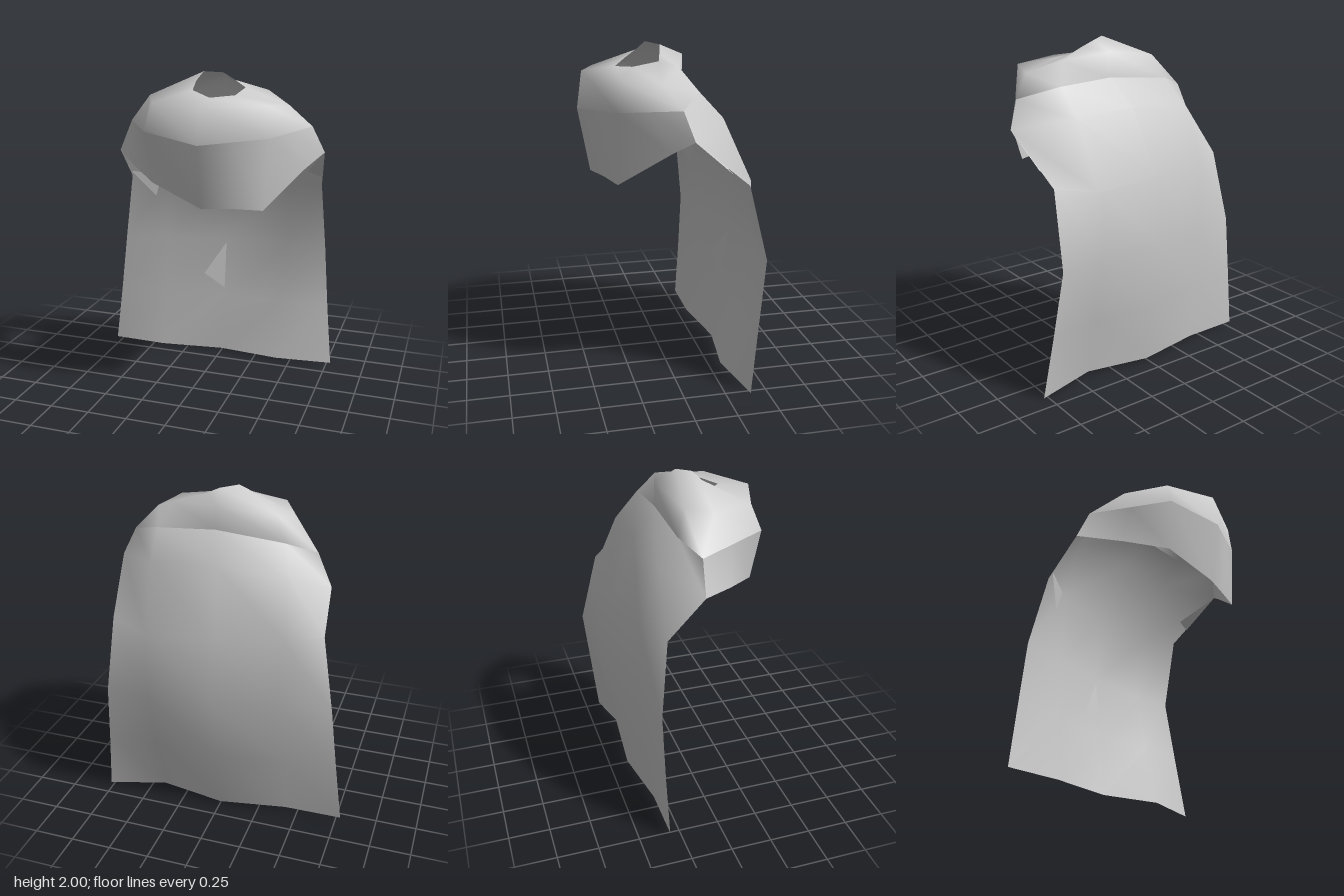
import * as THREE from 'three';

const material = new THREE.MeshStandardMaterial({ color: 0xcccccc, side: THREE.DoubleSide });

// Smooth cloth sheet stretched over rows of points; closed joins each row into a ring
function cloth(name, rows, closed = false) {
  const n = rows[0].length, index = [];
  for (let r = 0; r < rows.length - 1; r++) {
    for (let c = 0; c < (closed ? n : n - 1); c++) {
      const a = r * n + c, b = r * n + (c + 1) % n;
      index.push(a, a + n, b + n, a, b + n, b);
    }
  }
  const geometry = new THREE.BufferGeometry();
  geometry.setAttribute('position', new THREE.Float32BufferAttribute(rows.flat(2), 3));
  geometry.setIndex(index);
  geometry.computeVertexNormals();
  const mesh = new THREE.Mesh(geometry, material);
  mesh.name = name;
  return mesh;
}

// Three-cornered turned-over piece of cloth
const tuck = (name, a, b, c) => cloth(name, [[a, a], [b, c]]);

export function createModel() {
  const group = new THREE.Group();
  group.name = 'hoodedCape';

  // Rings run front, front left, left, back left, back, back right, right, front right
  const neckHole = [
    [0.12, 1.87, 0.28], [0.25, 1.88, 0.2], [0.27, 1.91, 0.05], [0.2, 1.95, 0.03],
    [0.12, 1.99, 0.01], [0.02, 2.0, 0.08], [-0.01, 1.95, 0.13], [-0.01, 1.9, 0.2],
  ];
  const crest = [
    [0.12, 1.85, 0.48], [0.48, 1.84, 0.31], [0.55, 1.82, 0.09], [0.39, 1.89, -0.04],
    [0.1, 1.93, -0.13], [-0.26, 1.88, -0.06], [-0.32, 1.85, 0.1], [-0.2, 1.84, 0.37],
  ];
  const fold = [
    [0.12, 1.63, 0.51], [0.49, 1.66, 0.33], [0.67, 1.69, 0], [0.46, 1.76, -0.14],
    [0.1, 1.78, -0.13], [-0.32, 1.74, -0.12], [-0.5, 1.67, -0.03], [-0.23, 1.68, 0.43],
  ];
  group.add(cloth('collar', [neckHole, crest, fold], true));

  // Draped front of the cowl, from right to left
  group.add(cloth('frontDrape', [
    [fold[6], [-0.365, 1.675, 0.2], fold[7], fold[0], [0.305, 1.645, 0.42], fold[1], [0.58, 1.675, 0.165], fold[2]],
    [[-0.59, 1.47, -0.04], [-0.4, 1.42, 0.18], [-0.2, 1.37, 0.38], [0.12, 1.25, 0.44],
      [0.3, 1.25, 0.38], [0.46, 1.24, 0.33], [0.65, 1.45, 0.06], [0.74, 1.53, -0.05]],
  ]));

  // Back cape, rows from the shoulders down, each from left to right
  group.add(cloth('cape', [
    fold.slice(2, 7),
    [[0.74, 1.53, -0.05], [0.45, 1.6, -0.29], [0.05, 1.62, -0.28], [-0.38, 1.58, -0.25], [-0.59, 1.47, -0.04]],
    [[0.67, 1.25, -0.39], [0.42, 1.21, -0.48], [0, 1.23, -0.45], [-0.4, 1.24, -0.37], [-0.61, 1.25, -0.27]],
    [[0.69, 0.8, -0.5], [0.42, 0.79, -0.505], [0, 0.8, -0.485], [-0.4, 0.8, -0.385], [-0.69, 0.8, -0.33]],
    [[0.73, 0.4, -0.45], [0.41, 0.4, -0.415], [0, 0.4, -0.435], [-0.41, 0.4, -0.355], [-0.735, 0.4, -0.325]],
    [[0.775, 0, -0.4], [0.41, 0.02, -0.32], [0, 0.01, -0.38], [-0.42, 0.015, -0.314], [-0.78, 0.02, -0.315]],
  ]));

  // Turned edges below the shoulders and the tuck at the top of the centre pleat
  group.add(tuck('leftEdgeTuck', [0.74, 1.53, -0.05], [0.69, 1.33, -0.28], [0.6, 1.36, -0.26]));
  group.add(tuck('rightEdgeTuck', [-0.605, 1.29, -0.24], [-0.47, 1.1, -0.35], [-0.43, 1.25, -0.35]));
  group.add(tuck('pleatTuck', [0, 0.77, -0.48], [0, 0.45, -0.44], [-0.14, 0.55, -0.41]));
  return group;
}
